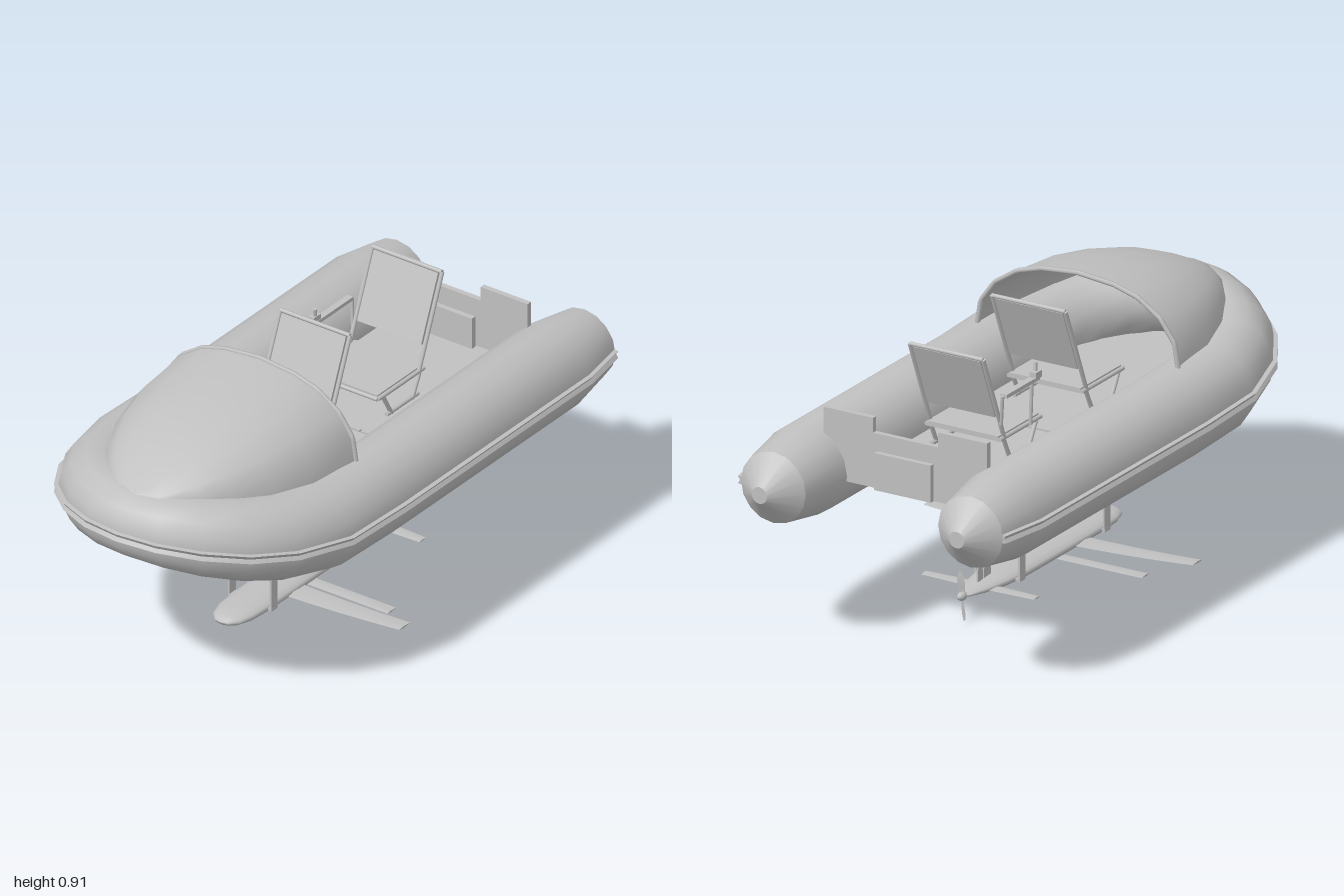
import * as THREE from 'three';
import { toCreasedNormals } from 'three/addons/utils/BufferGeometryUtils.js';

const V = (x, y, z) => new THREE.Vector3(x, y, z);

export function createModel() {
  const model = new THREE.Group();
  const grey = new THREE.MeshStandardMaterial({ color: 0xc0c0c0, side: THREE.DoubleSide });
  grey.name = 'light grey';

  function add(name, geometry, parent = model) {
    const mesh = new THREE.Mesh(geometry, grey);
    mesh.name = name;
    parent.add(mesh);
    return mesh;
  }
  function box(name, w, h, d, x, y, z, parent) {
    const mesh = add(name, new THREE.BoxGeometry(w, h, d), parent);
    mesh.position.set(x, y, z);
    return mesh;
  }
  function rod(name, a, b, r, parent) {
    const d = b.clone().sub(a);
    const mesh = add(name, new THREE.CylinderGeometry(r, r, d.length(), 8), parent);
    mesh.position.copy(a).addScaledVector(d, 0.5);
    mesh.quaternion.setFromUnitVectors(V(0, 1, 0), d.normalize());
  }
  // Skin a list of equal-length cross-sections
  function loft(rings, closed = true, crease = 0.6) {
    const n = rings[0].length, pts = rings.flat(), index = [];
    for (let i = 0; i + 1 < rings.length; i++) {
      for (let j = 0; j < (closed ? n : n - 1); j++) {
        const k = (j + 1) % n, a = i * n + j, b = i * n + k;
        index.push(a, b, a + n, b, b + n, a + n);
      }
    }
    if (closed) {
      for (let j = 1; j + 1 < n; j++) {
        const e = (rings.length - 1) * n;
        index.push(0, j + 1, j, e, e + j, e + j + 1);
      }
    }
    const g = new THREE.BufferGeometry().setFromPoints(pts);
    g.setIndex(index);
    return toCreasedNormals(g, crease);
  }

  // Horseshoe buoyancy tube: x, y, z, radius from the stern to the bow
  const half = [
    [1, 0.53, 0.35, 0.027], [0.92, 0.53, 0.35, 0.115], [0.75, 0.53, 0.35, 0.143],
    [-0.2, 0.53, 0.35, 0.143], [-0.45, 0.54, 0.35, 0.143], [-0.62, 0.565, 0.312, 0.137],
    [-0.72, 0.587, 0.255, 0.132], [-0.8, 0.608, 0.175, 0.126], [-0.853, 0.624, 0.085, 0.119],
  ];
  const path = [...half, [-0.87, 0.63, 0, 0.115],
    ...half.slice().reverse().map(([x, y, z, r]) => [x, y, -z, r])];
  function sweep(points, profile) {
    return points.map(([x, y, z, r], i) => {
      const p = points[Math.max(i - 1, 0)], q = points[Math.min(i + 1, points.length - 1)];
      const t = V(q[0] - p[0], 0, q[2] - p[2]).normalize();
      return profile(r).map(([n, u]) => V(x + t.z * n, y + u, z - t.x * n));
    });
  }
  const circle = r => Array.from({ length: 16 }, (_, j) => {
    const a = (j / 16) * Math.PI * 2;
    return [r * Math.cos(a), r * Math.sin(a)];
  });
  add('buoyancyTube', loft(sweep(path, circle)));
  const strake = r => [[r - 0.01, -0.015], [r + 0.011, -0.012], [r + 0.003, 0],
    [r + 0.011, 0.012], [r - 0.01, 0.015]];
  add('rubbingStrake', loft(sweep(path.slice(1, -1), strake), true, 0.5));

  // Bow canopy, open towards the cockpit: x, half width, base, top
  const arch = [[1, 0], [0.96, 0.36], [0.82, 0.64], [0.6, 0.85], [0.36, 0.95], [0, 1]];
  const fullArch = [...arch, ...arch.slice(0, -1).reverse().map(([z, y]) => [-z, y])];
  const section = ([x, w, b, t]) => fullArch.map(([z, y]) => V(x, b + (t - b) * y, z * w));
  const stations = [[-0.255, 0.358, 0.66, 0.908], [-0.45, 0.343, 0.67, 0.89],
    [-0.6, 0.3, 0.685, 0.86], [-0.72, 0.24, 0.7, 0.825], [-0.8, 0.18, 0.715, 0.79],
    [-0.88, 0.09, 0.725, 0.75], [-0.9, 0.02, 0.73, 0.74]];
  add('canopy', loft(stations.map(section), false, 0.7));
  const hoop = new THREE.CurvePath();
  const hoopPoints = section(stations[0]);
  hoopPoints.slice(1).forEach((p, i) => hoop.add(new THREE.LineCurve3(hoopPoints[i], p)));
  add('canopyHoop', new THREE.TubeGeometry(hoop, 60, 0.008, 6));

  // Floor with bow taper, and its folding joint
  const floorShape = new THREE.Shape([[0.715, 0.23], [-0.5, 0.23], [-0.66, 0.17], [-0.8, 0.05],
    [-0.8, -0.05], [-0.66, -0.17], [-0.5, -0.23], [0.715, -0.23]]
    .map(([x, z]) => new THREE.Vector2(x, z)));
  const floor = add('floor', new THREE.ExtrudeGeometry(floorShape, { depth: 0.015, bevelEnabled: false }));
  floor.rotation.x = -Math.PI / 2;
  floor.position.y = 0.515;
  for (const [z, d] of [[-0.165, 0.08], [0, 0.24], [0.165, 0.08]]) {
    box('floorJoint', 0.01, 0.006, d, 0.09, 0.533, z);
  }

  // Transom with a notch, and motor pads on both faces
  const transomShape = new THREE.Shape([[-0.29, 0.515], [0.29, 0.515], [0.29, 0.74], [0.115, 0.74],
    [0.115, 0.692], [-0.115, 0.692], [-0.115, 0.74], [-0.29, 0.74]]
    .map(([z, y]) => new THREE.Vector2(z, y)));
  const transom = add('transom', new THREE.ExtrudeGeometry(transomShape, { depth: 0.018, bevelEnabled: false }));
  transom.rotation.y = Math.PI / 2;
  transom.position.x = 0.711;
  for (const x of [0.695, 0.737]) box('motorPad', 0.018, 0.12, 0.2, x, 0.575, 0);

  // Two folding seats
  for (const x of [-0.31, 0.16]) {
    const seat = new THREE.Group();
    seat.name = 'seat';
    seat.position.x = x;
    model.add(seat);
    box('seatPan', 0.23, 0.016, 0.25, 0.125, 0.612, 0, seat);
    const back = box('seatBack', 0.01, 0.225, 0.24, 0.288, 0.79, 0, seat);
    back.rotation.z = -0.39;
    for (const s of [-1, 1]) {
      const z = s * 0.13;
      rod('backFrame', V(0.215, 0.61, z), V(0.334, 0.9, z), 0.007, seat);
      rod('panFrame', V(0.005, 0.61, z), V(0.24, 0.61, z), 0.007, seat);
      rod('frontLeg', V(0.03, 0.61, z), V(0.075, 0.53, z), 0.007, seat);
      rod('rearLeg', V(0.22, 0.61, z), V(0.18, 0.53, z), 0.007, seat);
      rod('footRail', V(0.05, 0.536, z), V(0.21, 0.536, z), 0.007, seat);
    }
    rod('topFrame', V(0.334, 0.9, -0.13), V(0.334, 0.9, 0.13), 0.007, seat);
    rod('frontFrame', V(0.005, 0.61, -0.13), V(0.005, 0.61, 0.13), 0.007, seat);
  }

  // Armrest with control stick on the rear seat
  box('armrest', 0.19, 0.012, 0.022, 0.31, 0.757, -0.148);
  rod('armrestPost', V(0.24, 0.61, -0.14), V(0.24, 0.757, -0.145), 0.006);
  rod('armrestBrace', V(0.4, 0.66, -0.135), V(0.408, 0.757, -0.145), 0.006);
  box('controlBase', 0.035, 0.022, 0.022, 0.225, 0.769, -0.15);
  rod('controlStick', V(0.225, 0.765, -0.148), V(0.22, 0.805, -0.145), 0.006);

  // Underwater pod on two pairs of struts
  const podProfile = [[0, -0.45], [0.35, -0.445], [0.7, -0.42], [0.92, -0.37], [1, -0.28], [1, 0.15],
    [0.88, 0.25], [0.6, 0.34], [0.3, 0.4], [0, 0.425]].map(([r, x]) => new THREE.Vector2(r, x));
  const podGeometry = new THREE.LatheGeometry(podProfile, 16);
  podGeometry.scale(0.024, 1, 0.072).rotateZ(-Math.PI / 2);
  add('pod', podGeometry).position.set(-0.01, 0.081, 0);
  for (const x of [-0.295, 0.19]) {
    for (const z of [-0.078, 0.078]) {
      box('strut', 0.032, 0.445, 0.006, x, 0.2975, z);
      box('strutFoot', 0.032, 0.008, 0.03, x, 0.081, z * 0.85);
    }
    box('strutBrace', 0.02, 0.006, 0.156, x, 0.363, 0);
  }

  // Foils: symmetric wings with tapering diamond sections
  function foil(name, x, y, span, root, tip, rise, thick) {
    const rings = [-1, -0.75, -0.5, -0.25, 0, 0.25, 0.5, 0.75, 1].map(s => {
      const c = root + (tip - root) * Math.abs(s), yy = y + rise * s * s, z = s * span;
      return [V(x - c / 2, yy, z), V(x - c * 0.15, yy + thick / 2, z),
        V(x + c / 2, yy, z), V(x - c * 0.15, yy - thick / 2, z)];
    });
    add(name, loft(rings, true, 0.4));
  }
  foil('mainFoil', -0.17, 0.079, 0.477, 0.09, 0.055, 0.017, 0.007);
  foil('lowerFoil', -0.07, 0.061, 0.355, 0.045, 0.045, 0, 0.006);
  foil('tailFoil', 0.3, 0.08, 0.2, 0.05, 0.035, 0, 0.006);

  // Upright fin and rudder
  for (const [x, w] of [[0.265, 0.04], [0.305, 0.028]]) {
    const fin = box('fin', w, 0.1, 0.006, x, 0.141, 0);
    const p = fin.geometry.attributes.position;
    for (let i = 0; i < p.count; i++) if (p.getY(i) > 0) p.setX(i, p.getX(i) * 0.8);
  }

  // Two-bladed propeller
  const propeller = new THREE.Group();
  propeller.name = 'propeller';
  propeller.position.set(0.405, 0.08, 0);
  propeller.rotation.x = 0.1;
  model.add(propeller);
  const hub = add('hub', new THREE.SphereGeometry(0.014, 10, 8), propeller);
  hub.scale.x = 1.5;
  for (const s of [0, 1]) {
    const rings = [[0, 0.008, 1], [0.03, 0.012, 0.9], [0.055, 0.011, 1.1], [0.079, 0.004, 1.25]]
      .map(([y, w, a]) => [-1, 1].map(k => V(k * w * Math.cos(a), y, k * w * Math.sin(a))));
    add('blade', loft(rings, false), propeller).rotation.x = s * Math.PI;
  }
  return model;
}
